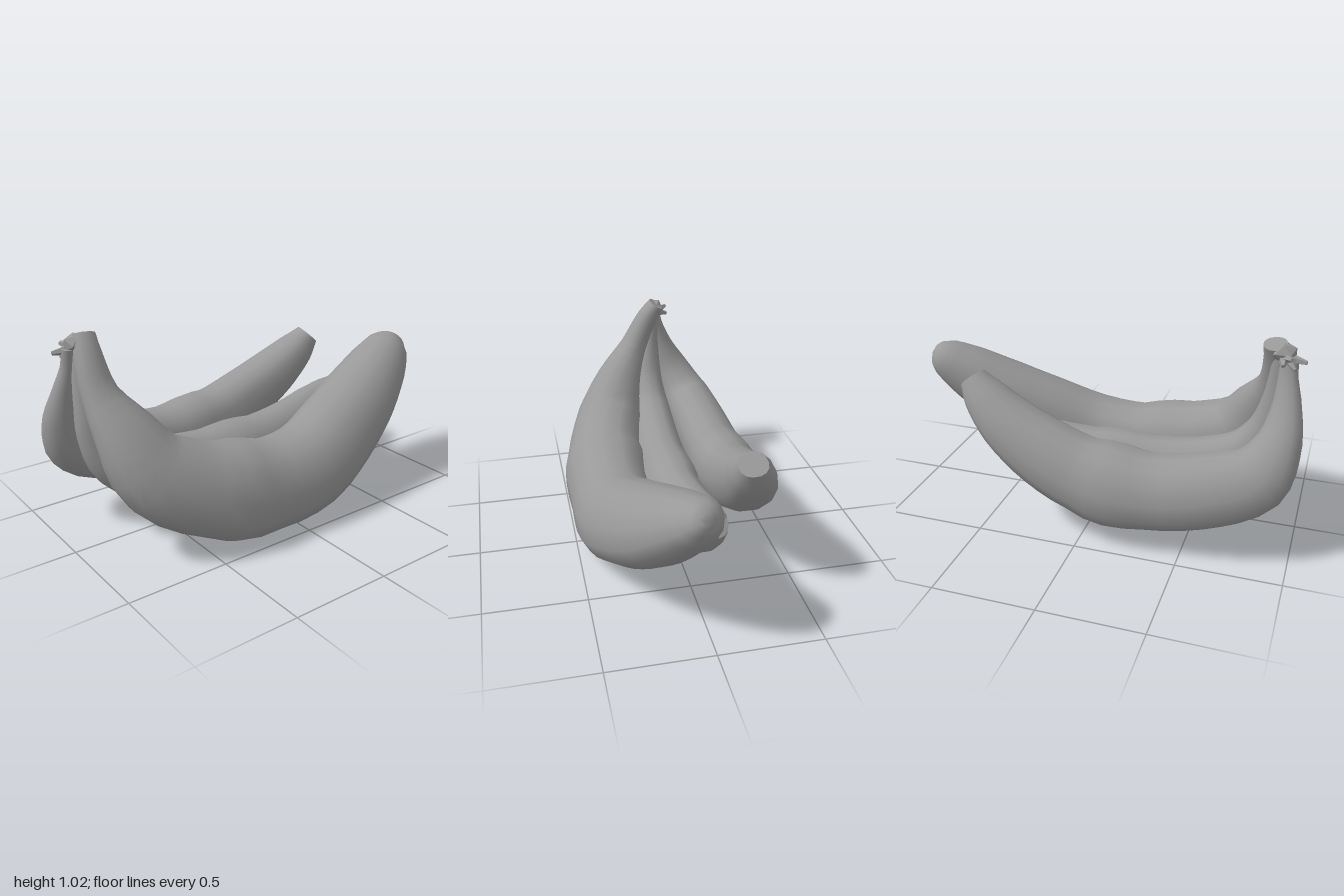
import * as THREE from 'three';
import { toCreasedNormals } from 'three/addons/utils/BufferGeometryUtils.js';

const SIDES = 14;
const squarish = v => Math.sign(v) * Math.abs(v) ** 0.9;

// Lofts one fruit through stations of [x, y, z, half width, half height];
// lean pushes the underside sideways.
function fruitGeometry({ lean, stations }, steps) {
  const path = new THREE.CatmullRomCurve3(stations.map(s => new THREE.Vector3(s[0], s[1], s[2])));
  const radii = new THREE.CatmullRomCurve3(stations.map(s => new THREE.Vector3(s[3], s[4], 0)));
  const positions = [];
  const index = [];
  for (let i = 0; i <= steps; i++) {
    const c = path.getPoint(i / steps);
    const r = radii.getPoint(i / steps);
    const t = path.getTangent(i / steps);
    const side = new THREE.Vector3(1, 0, 0).addScaledVector(t, -t.x).normalize();
    const outer = t.clone().cross(side);
    for (let j = 0; j < SIDES; j++) {
      const a = (j / SIDES) * Math.PI * 2;
      // Slightly boxy section, wider on the outside of the bend
      const v = squarish(Math.sin(a)) * r.y;
      const u = squarish(Math.cos(a)) * r.x * (1 + 0.05 * Math.sin(a)) - lean * v * outer.y;
      const p = c.clone().addScaledVector(side, u).addScaledVector(outer, v);
      positions.push(p.x, p.y, p.z);
    }
  }
  for (let i = 0; i < steps; i++) {
    for (let j = 0; j < SIDES; j++) {
      const n = (j + 1) % SIDES;
      const a = i * SIDES + j, b = i * SIDES + n;
      index.push(a, b, b + SIDES, a, b + SIDES, a + SIDES);
    }
  }
  // Closed ends
  const last = steps * SIDES;
  for (let j = 1; j < SIDES - 1; j++) {
    index.push(0, j + 1, j);
    index.push(last, last + j, last + j + 1);
  }
  const g = new THREE.BufferGeometry();
  g.setAttribute('position', new THREE.Float32BufferAttribute(positions, 3));
  g.setIndex(index);
  return toCreasedNormals(g, 0.75);
}

// Stations run from the stem, around the bend, to the blossom end.
const FRUITS = {
  largeBanana: {
    lean: 0.14,
    stations: [
      [-0.1, 1.01, 0.83, 0.04, 0.055], [-0.05, 0.93, 0.84, 0.055, 0.065],
      [0.03, 0.77, 0.835, 0.072, 0.085], [0.13, 0.6, 0.775, 0.125, 0.145],
      [0.21, 0.41, 0.675, 0.18, 0.2], [0.28, 0.285, 0.44, 0.2, 0.215],
      [0.3, 0.222, 0.13, 0.2, 0.215], [0.295, 0.245, -0.15, 0.2, 0.21],
      [0.235, 0.345, -0.4, 0.197, 0.205], [0.17, 0.46, -0.62, 0.187, 0.185],
      [0.11, 0.585, -0.81, 0.153, 0.145], [0.07, 0.67, -0.93, 0.11, 0.1],
      [0.06, 0.7, -0.975, 0.065, 0.06], [0.055, 0.71, -0.99, 0.025, 0.025],
    ],
  },
  middleBanana: {
    lean: 0.12,
    stations: [
      [-0.085, 0.95, 0.86, 0.035, 0.04], [-0.075, 0.85, 0.86, 0.04, 0.05],
      [-0.06, 0.7, 0.85, 0.06, 0.07], [-0.05, 0.55, 0.82, 0.08, 0.1],
      [-0.04, 0.4, 0.73, 0.11, 0.14], [-0.025, 0.295, 0.52, 0.13, 0.16],
      [-0.02, 0.255, 0.25, 0.132, 0.165], [-0.02, 0.255, -0.05, 0.132, 0.165],
      [-0.04, 0.29, -0.3, 0.12, 0.155], [-0.06, 0.355, -0.49, 0.1, 0.135],
      [-0.07, 0.42, -0.61, 0.075, 0.095], [-0.075, 0.46, -0.675, 0.052, 0.055],
    ],
  },
  smallBanana: {
    lean: -0.1,
    stations: [
      [-0.1, 0.96, 0.9, 0.03, 0.04], [-0.115, 0.87, 0.9, 0.036, 0.045],
      [-0.155, 0.73, 0.91, 0.06, 0.07], [-0.22, 0.57, 0.895, 0.1, 0.11],
      [-0.285, 0.42, 0.81, 0.14, 0.16], [-0.32, 0.335, 0.59, 0.155, 0.175],
      [-0.335, 0.29, 0.3, 0.16, 0.18], [-0.335, 0.325, 0, 0.16, 0.18],
      [-0.325, 0.415, -0.22, 0.15, 0.165], [-0.3, 0.53, -0.41, 0.135, 0.135],
      [-0.27, 0.64, -0.54, 0.105, 0.1], [-0.25, 0.72, -0.61, 0.068, 0.062],
    ],
  },
};

export function createModel() {
  const group = new THREE.Group();
  const peel = new THREE.MeshStandardMaterial({ color: 0x999999 });
  peel.name = 'grey peel';

  const add = (name, geometry, parent = group) => {
    const mesh = new THREE.Mesh(geometry, peel);
    mesh.name = name;
    parent.add(mesh);
    return mesh;
  };

  for (const [name, fruit] of Object.entries(FRUITS)) {
    add(name, fruitGeometry(fruit, 39));
  }

  // Rough crown where the stems join
  const crown = new THREE.Group();
  crown.name = 'crown';
  group.add(crown);
  const knot = add('crownKnot', new THREE.IcosahedronGeometry(0.06, 0), crown);
  knot.position.set(-0.1, 0.975, 0.87);
  knot.scale.set(0.85, 0.85, 1.1);

  // Torn fibres: direction and length of each
  const fibres = [
    [-0.8, 0.15, 0.5, 0.085], [-0.5, -0.5, 0.7, 0.085],
    [-0.2, -0.1, 1, 0.11], [-0.9, -0.25, 0.1, 0.075],
  ];
  for (const [x, y, z, length] of fibres) {
    const dir = new THREE.Vector3(x, y, z).normalize();
    const fibre = add('crownFibre', toCreasedNormals(new THREE.CylinderGeometry(0.01, 0.03, length, 5), 0.5), crown);
    fibre.quaternion.setFromUnitVectors(new THREE.Vector3(0, 1, 0), dir);
    fibre.position.set(-0.1, 0.955, 0.87).addScaledVector(dir, length / 2);
  }

  return group;
}
